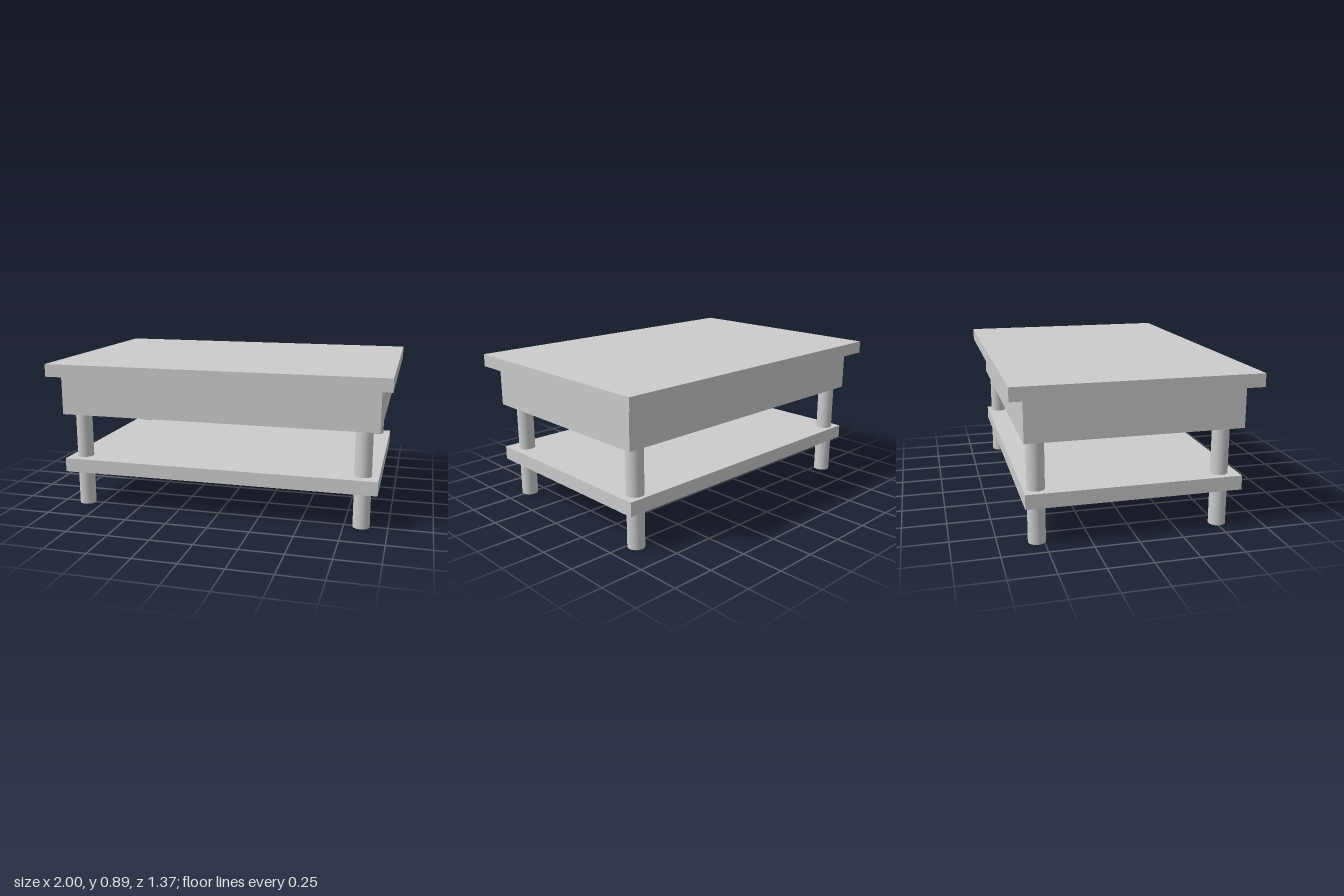
import * as THREE from 'three';

export function createModel() {
  const group = new THREE.Group();
  const material = new THREE.MeshStandardMaterial({ color: 0xcccccc });

  const add = (name, geometry, x, y, z) => {
    const mesh = new THREE.Mesh(geometry, material);
    mesh.name = name;
    mesh.position.set(x, y, z);
    group.add(mesh);
  };

  // Horizontal slab between two heights
  const slab = (name, width, depth, y0, y1) =>
    add(name, new THREE.BoxGeometry(width, y1 - y0, depth), 0, (y0 + y1) / 2, 0);

  slab('tableTop', 2, 1.37, 0.818, 0.893);
  slab('apron', 1.88, 1.216, 0.58, 0.818);
  slab('lowerShelf', 1.88, 1.216, 0.222, 0.304);

  // Round legs, set slightly off centre, running through the shelf up to the apron
  const legHeight = 0.58;
  const legGeometry = new THREE.CylinderGeometry(0.049, 0.049, legHeight, 32);
  for (const [side, x] of [['Left', 0.849], ['Right', -0.854]]) {
    for (const [end, z] of [['front', 0.505], ['back', -0.538]]) {
      add(`${end}${side}Leg`, legGeometry, x, legHeight / 2, z);
    }
  }

  return group;
}
